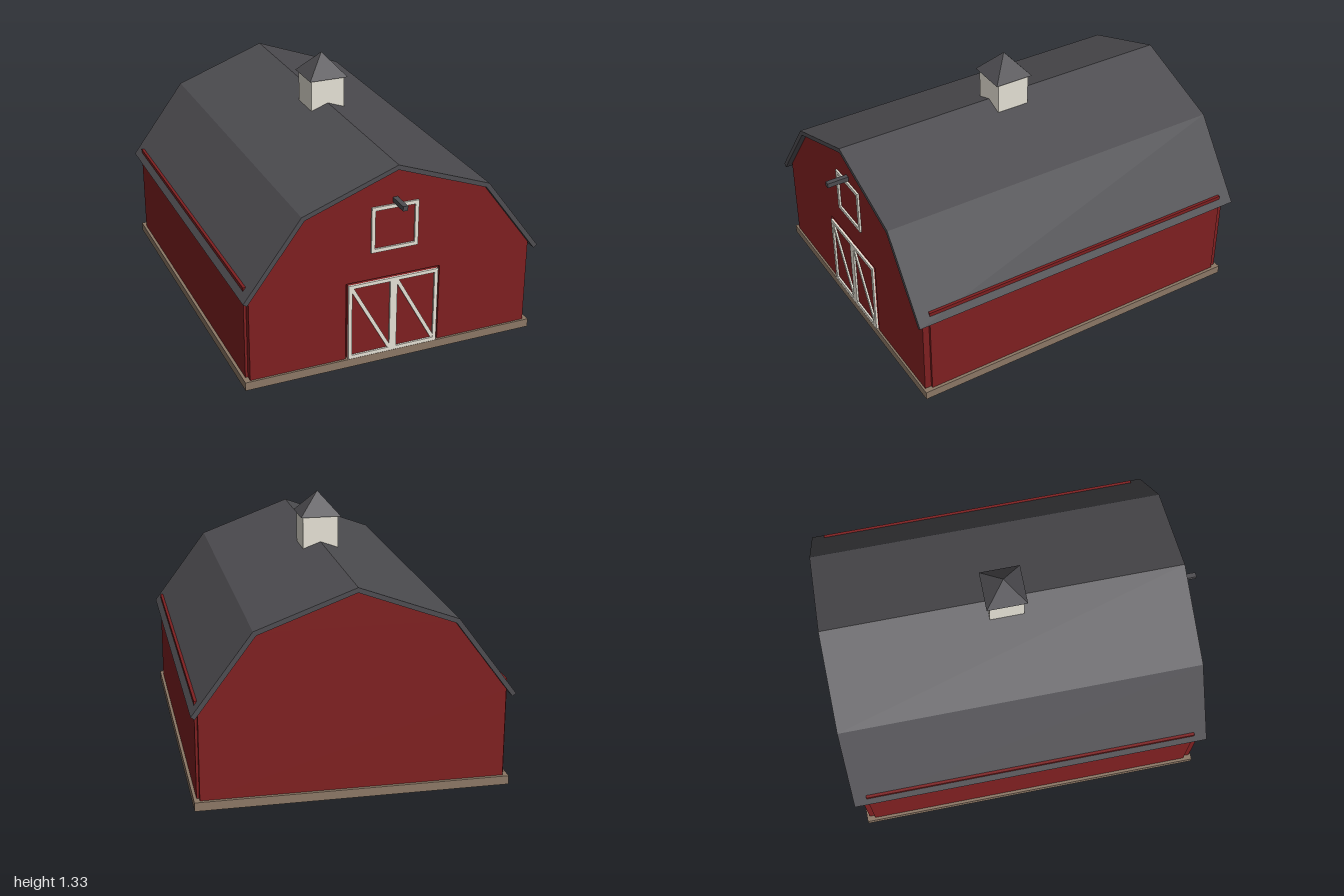
import * as THREE from 'three';

const material = (name, color) => {
  const m = new THREE.MeshStandardMaterial({ color });
  m.name = name;
  return m;
};

export function createModel() {
  const barn = new THREE.Group();
  barn.name = 'barn';
  const red = material('barn red', 0x7e1f20);
  const cream = material('cream trim', 0xe4e0d4);
  const slate = material('slate grey', 0x4d4c50);
  const stone = material('stone', 0x8b7765);
  stone.side = THREE.DoubleSide;

  const add = (name, geometry, mat, parent = barn) => {
    const mesh = new THREE.Mesh(geometry, mat);
    mesh.name = name;
    parent.add(mesh);
    return mesh;
  };
  // Box given by its limits on each axis
  const box = (name, [x0, x1], [y0, y1], [z0, z1], mat, parent) => {
    const mesh = add(name, new THREE.BoxGeometry(x1 - x0, y1 - y0, z1 - z0), mat, parent);
    mesh.position.set((x0 + x1) / 2, (y0 + y1) / 2, (z0 + z1) / 2);
    return mesh;
  };
  // Outline in x and y, extruded between two z values
  const toVectors = (points) => points.map(([x, y]) => new THREE.Vector2(x, y));
  const extrude = (name, points, z0, z1, mat) => {
    const geometry = new THREE.ExtrudeGeometry(new THREE.Shape(toVectors(points)), { depth: z1 - z0, bevelEnabled: false });
    add(name, geometry, mat).position.z = z0;
  };
  // Half profile from eave to ridge, mirrored to the other side
  const mirror = (half) => [...half, ...half.slice(0, -1).reverse().map(([x, y]) => [-x, y])];

  // Foundation: a shell that is open underneath
  const foundation = box('foundation', [-0.785, 0.785], [0, 0.045], [-0.975, 0.895], stone);
  const faces = Array.from(foundation.geometry.index.array);
  faces.splice(18, 6); // the bottom face
  foundation.geometry.setIndex(faces);
  foundation.geometry.clearGroups();

  // Gambrel roof with thickness
  const outer = mirror([[0.794, 0.493], [0.496, 0.892], [0, 1.075]]);
  const inner = mirror([[0.775, 0.479], [0.481, 0.872], [0, 1.05]]);
  extrude('roof', [...outer, ...inner.reverse()], -1, 0.917, slate);

  // Gable walls follow the underside of the roof; the front one is notched for the door
  const base = 0.046;
  const gable = mirror([[0.757, base], [0.757, 0.503], [0.481, 0.872], [0, 1.05]]);
  const notch = [[-0.255, base], [-0.255, 0.47], [0.255, 0.47], [0.255, base]];
  extrude('frontWall', [...gable, ...notch], 0.85, 0.885, red);
  extrude('backWall', gable, -0.96, -0.93, red);

  // Side walls, whose tops pass through the roof
  box('leftWall', [0.755, 0.77], [base, 0.545], [-0.93, 0.85], red);
  box('rightWall', [-0.77, -0.755], [base, 0.545], [-0.93, 0.85], red);

  // Rectangular trim made of four bars
  const w = 0.019;
  const frame = (name, [x0, x1], [y0, y1], z, parent) => {
    box(name + 'Left', [x1 - w, x1], [y0, y1], z, cream, parent);
    box(name + 'Right', [x0, x0 + w], [y0, y1], z, cream, parent);
    box(name + 'Top', [x0 + w, x1 - w], [y1 - w, y1], z, cream, parent);
    box(name + 'Bottom', [x0 + w, x1 - w], [y0, y0 + w], z, cream, parent);
  };

  // Double door with framed and braced leaves, set in the notch
  const door = new THREE.Group();
  door.name = 'door';
  barn.add(door);
  box('doorBacking', [-0.256, 0.256], [base, 0.471], [0.851, 0.866], red, door);
  for (const x0 of [-0.243, 0]) {
    const x1 = x0 + 0.243;
    box('doorLeaf', [x0, x1], [base, 0.46], [0.865, 0.885], red, door);
    frame('doorFrame', [x0, x1], [base, 0.46], [0.884, 0.895], door);
    const dx = 0.212, dy = -0.385;
    const brace = add('doorBrace', new THREE.BoxGeometry(Math.hypot(dx, dy), w, 0.009), cream, door);
    brace.position.set((x0 + x1) / 2, 0.2525, 0.89);
    brace.rotation.z = Math.atan2(dy, dx);
  }

  // Hayloft hatch and hoist beam
  const hatch = new THREE.Group();
  hatch.name = 'loftHatch';
  barn.add(hatch);
  frame('hatchFrame', [-0.125, 0.125], [0.618, 0.861], [0.884, 0.895], hatch);
  box('hoistBeam', [-0.013, 0.013], [0.871, 0.896], [0.86, 1], slate);

  // Cupola on the ridge
  box('cupola', [-0.093, 0.093], [1.04, 1.21], [-0.13, 0.05], cream);
  const capGeometry = new THREE.ConeGeometry(0.106 * Math.SQRT2, 0.12, 4).rotateY(Math.PI / 4).toNonIndexed();
  capGeometry.computeVertexNormals();
  add('cupolaRoof', capGeometry, slate).position.set(0, 1.27, -0.04);

  return barn;
}
